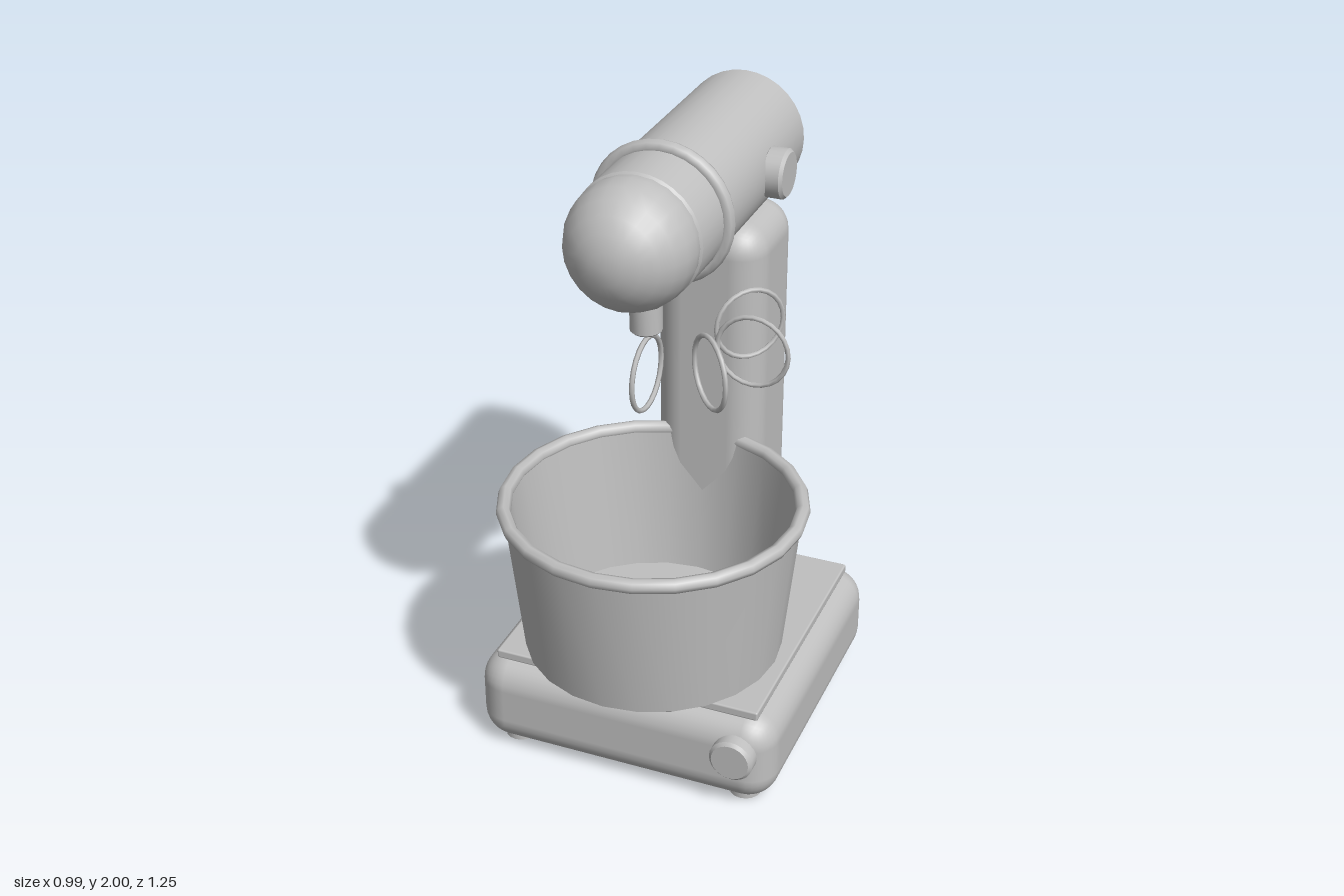
import * as THREE from 'three';
import { toCreasedNormals } from 'three/addons/utils/BufferGeometryUtils.js';
import { RoundedBoxGeometry } from 'three/addons/geometries/RoundedBoxGeometry.js';

export function createModel() {
  const model = new THREE.Group();
  model.name = 'standMixer';
  const grey = new THREE.MeshStandardMaterial({ color: 0xc0c0c0 });
  grey.name = 'light grey';

  const add = (name, geometry, x, y, z) => {
    const mesh = new THREE.Mesh(geometry, grey);
    mesh.name = name;
    mesh.position.set(x, y, z);
    model.add(mesh);
    return mesh;
  };

  // Turned shape from [radius, height] pairs, with sharp edges kept
  const turned = (points, sides) => toCreasedNormals(
    new THREE.LatheGeometry(points.map(([r, y]) => new THREE.Vector2(r, y)), sides), 0.6);

  // Solid disc or rod with a small chamfer at both ends, centred on the origin
  const rod = (r, h, bevel, sides) => turned([
    [0, -h / 2], [r - bevel, -h / 2], [r, -h / 2 + bevel],
    [r, h / 2 - bevel], [r - bevel, h / 2], [0, h / 2],
  ], sides);

  // Base with its top plate and four feet
  add('base', new RoundedBoxGeometry(0.99, 0.31, 0.985, 4, 0.1), 0, 0.167, -0.053);
  add('basePlate', new RoundedBoxGeometry(0.87, 0.03, 0.87, 2, 0.006), 0, 0.326, -0.05);
  for (const x of [-0.385, 0.385]) {
    for (const z of [-0.435, 0.335]) {
      add('foot', new THREE.CylinderGeometry(0.05, 0.05, 0.03, 16), x, 0.015, z);
    }
  }

  // Control knob on the front of the base
  add('speedKnob', rod(0.07, 0.06, 0.01, 24), 0.38, 0.203, 0.443).rotation.x = Math.PI / 2;

  // Upright column
  add('column', new RoundedBoxGeometry(0.355, 1.38, 0.355, 4, 0.1), 0, 0.9, -0.447);

  // Motor head: barrel, domed nose and trim ring
  add('headBarrel', rod(0.196, 0.895, 0.02, 32), 0, 1.778, -0.178).rotation.x = Math.PI / 2;
  add('headNose', new THREE.SphereGeometry(0.194, 24, 12), 0, 1.778, 0.288).rotation.x = Math.PI / 2;
  add('trimRing', new THREE.TorusGeometry(0.201, 0.022, 8, 32), 0, 1.778, 0.07);

  // Lock knob on the left side of the head
  add('lockKnob', rod(0.077, 0.07, 0.01, 24), 0.21, 1.777, -0.33).rotation.z = -Math.PI / 2;

  // Tool hub under the nose
  add('toolHub', rod(0.048, 0.17, 0.006, 16), 0, 1.545, 0.192);

  // Four whisk wires, each turned about an upright axis with its plane along the radius
  for (let i = 0; i < 4; i++) {
    const angle = i * Math.PI / 4;
    add('whiskWire', new THREE.TorusGeometry(0.112, 0.008, 6, 24),
      0.24 * Math.sin(angle), 1.32, -0.05 + 0.24 * Math.cos(angle)).rotation.y = angle - Math.PI / 2;
  }

  // Open bowl with wall thickness, rolled rim and foot ring
  const bowlZ = 0.145;
  add('bowl', turned([
    [0, 0.35], [0.39, 0.35], [0.405, 0.362], [0.457, 0.85],
    [0.437, 0.85], [0.382, 0.375], [0, 0.375],
  ], 24), 0, 0, bowlZ);
  add('bowlRim', new THREE.TorusGeometry(0.456, 0.023, 8, 24), 0, 0.852, bowlZ).rotation.x = Math.PI / 2;
  add('bowlFoot', new THREE.CylinderGeometry(0.335, 0.335, 0.025, 24), 0, 0.348, bowlZ);

  return model;
}
